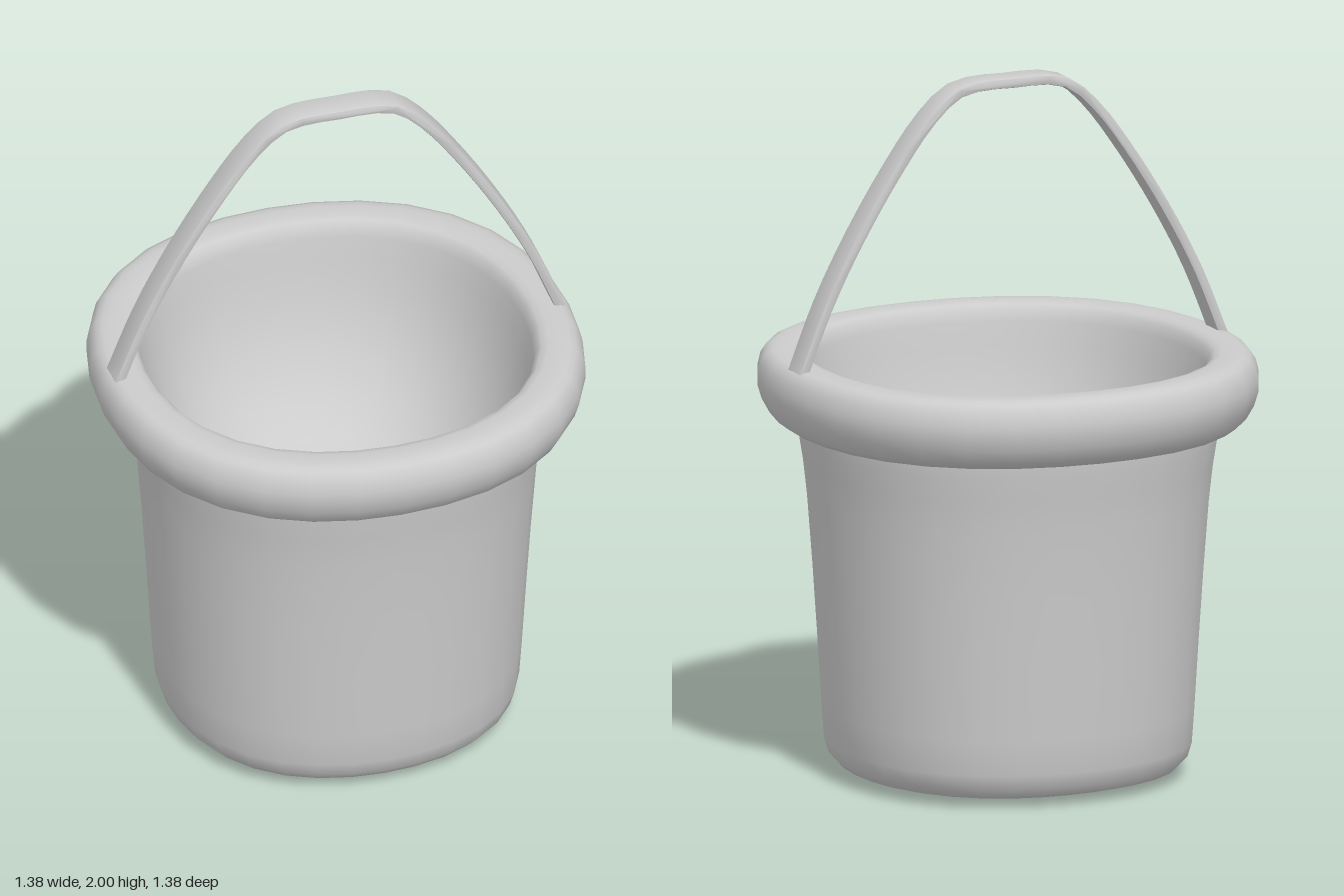
import * as THREE from 'three';
import { toCreasedNormals } from 'three/addons/utils/BufferGeometryUtils.js';

const SIDES = 32;
const SQUARENESS = 0.034;
const material = new THREE.MeshStandardMaterial({ color: 0xcccccc });

// Surface of revolution from [radius, height] pairs, swelling slightly on the diagonals
function lathe(name, profile) {
  const geometry = new THREE.LatheGeometry(profile.map(([r, y]) => new THREE.Vector2(r, y)), SIDES);
  const position = geometry.attributes.position;
  for (let i = 0; i < position.count; i++) {
    const x = position.getX(i), z = position.getZ(i);
    const swell = 1 + SQUARENESS * (1 - Math.cos(4 * Math.atan2(z, x))) / 2;
    position.setX(i, x * swell);
    position.setZ(i, z * swell);
  }
  const mesh = new THREE.Mesh(toCreasedNormals(geometry, 0.9), material);
  mesh.name = name;
  return mesh;
}

// Arched strap: a thin ribbon outline extruded across its width with softened edges
function createHandle() {
  const half = [[0.654, 1.185], [0.571, 1.39], [0.483, 1.56], [0.365, 1.75], [0.255, 1.897], [0.175, 1.967], [0.11, 1.985]];
  const path = new THREE.CatmullRomCurve3([
    ...half.map(([x, y]) => new THREE.Vector3(x, y, 0)),
    new THREE.Vector3(0, 1.986, 0),
    ...half.map(([x, y]) => new THREE.Vector3(-x, y, 0)).reverse(),
  ]);
  const steps = 40, bevel = 0.006, offset = 0.008, width = 0.086;
  const outer = [], inner = [];
  for (let i = 0; i <= steps; i++) {
    const p = path.getPointAt(i / steps), t = path.getTangentAt(i / steps);
    outer.push(new THREE.Vector2(p.x + t.y * offset, p.y - t.x * offset));
    inner.push(new THREE.Vector2(p.x - t.y * offset, p.y + t.x * offset));
  }
  const geometry = new THREE.ExtrudeGeometry(new THREE.Shape([...outer, ...inner.reverse()]), {
    depth: width - 2 * bevel, bevelEnabled: true, bevelThickness: bevel, bevelSize: bevel, bevelSegments: 2,
  });
  geometry.translate(0, 0, bevel - width / 2);
  const mesh = new THREE.Mesh(toCreasedNormals(geometry, 0.6), material);
  mesh.name = 'handle';
  return mesh;
}

export function createModel() {
  const group = new THREE.Group();
  group.name = 'bucket';

  // Outer wall with rounded foot, running up behind the rim
  group.add(lathe('outerWall', [
    [0, 0], [0.36, 0.01], [0.42, 0.016], [0.47, 0.03], [0.496, 0.058], [0.508, 0.1],
    [0.515, 0.2], [0.527, 0.4], [0.54, 0.6], [0.555, 0.8], [0.566, 0.9], [0.577, 0.97], [0.581, 1.02], [0.582, 1.07],
  ]));

  // Rolled rim with a recess underneath and a flat top, continuing into a rounded bowl inside
  group.add(lathe('rimAndBowl', [
    [0.577, 1.06], [0.603, 1.045], [0.61, 1.014], [0.63, 1.014], [0.658, 1.035], [0.68, 1.075], [0.692, 1.115],
    [0.692, 1.145], [0.684, 1.18], [0.668, 1.205], [0.65, 1.213], [0.63, 1.215],
    [0.59, 1.215], [0.57, 1.21], [0.556, 1.195], [0.548, 1.165],
    [0.535, 1.1], [0.515, 1.01], [0.485, 0.915], [0.44, 0.82], [0.38, 0.735],
    [0.3, 0.66], [0.2, 0.605], [0.1, 0.575], [0, 0.565],
  ]));

  group.add(createHandle());
  return group;
}
